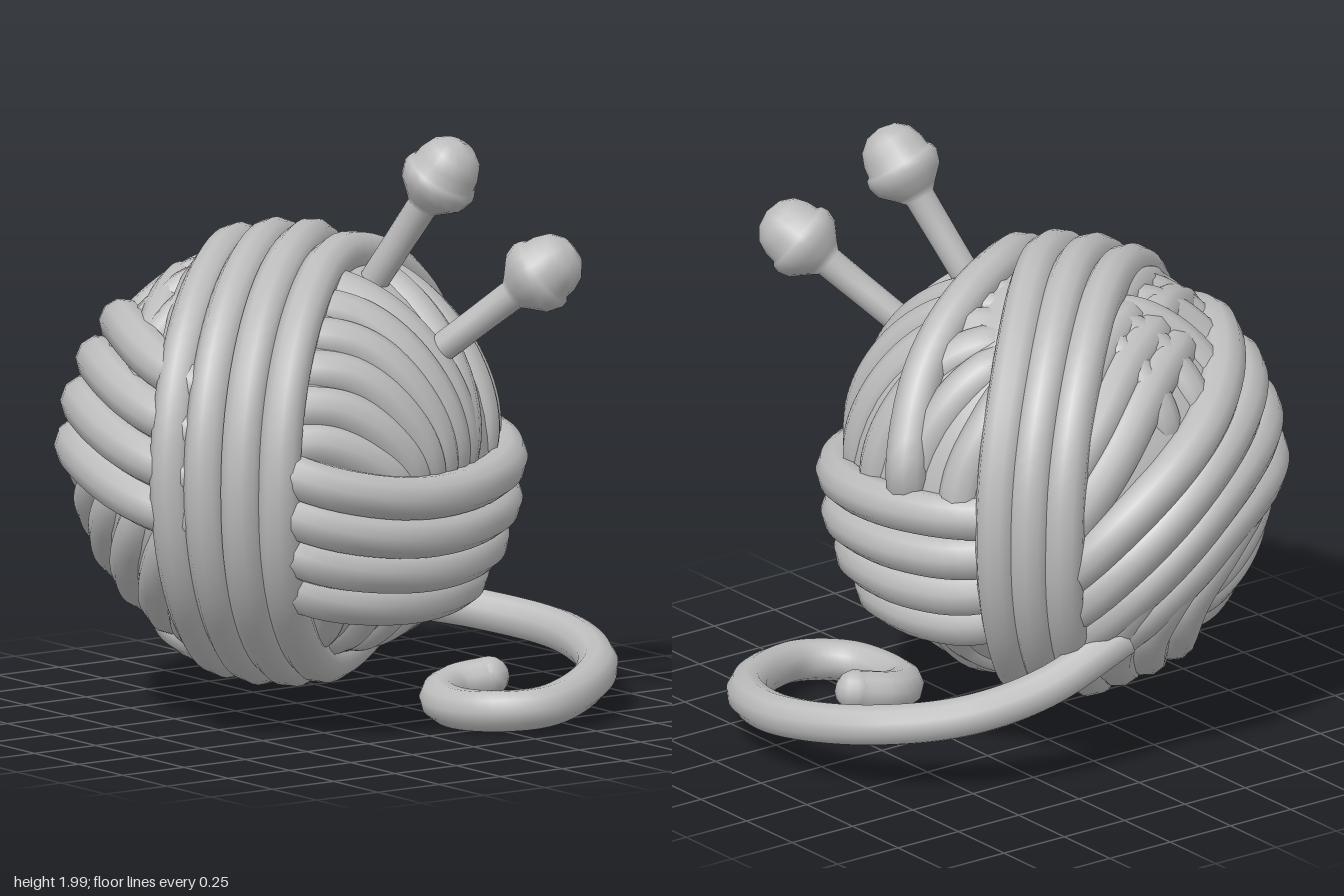
import * as THREE from 'three';

const yarn = new THREE.MeshStandardMaterial({ color: 0xbcbcbc });
yarn.name = 'plain grey';

const CENTRE = new THREE.Vector3(-0.08, 0.895, 0.16);
// Horizontal axes of the ball: N is the axle of the upright band, T points to its front
const N = new THREE.Vector3(0.8, 0, -0.6);
const T = new THREE.Vector3(0.6, 0, 0.8);
const V = (a) => new THREE.Vector3(...a);

// Direction from longitude (0 = N, 90 = T) and latitude in degrees
function direction(lon, lat) {
  const a = THREE.MathUtils.degToRad(lon), b = THREE.MathUtils.degToRad(lat);
  return new THREE.Vector3()
    .addScaledVector(N, Math.cos(a) * Math.cos(b))
    .addScaledVector(T, Math.sin(a) * Math.cos(b))
    .setY(Math.sin(b));
}

function tube(name, points, radius, closed = false, segments = 40) {
  const curve = new THREE.CatmullRomCurve3(points, closed, 'centripetal');
  const mesh = new THREE.Mesh(new THREE.TubeGeometry(curve, segments, radius, 10, closed), yarn);
  mesh.name = name;
  return mesh;
}

// One strand hugging the ball; its ends dip below the surface
function strand(name, guide, R, radius) {
  const raw = new THREE.CatmullRomCurve3(guide.map(([lon, lat]) => direction(lon, lat)), false, 'centripetal');
  const points = [];
  for (let i = 0; i <= 16; i++) {
    const t = i / 16;
    const dip = 1 - 0.1 * Math.abs(2 * t - 1) ** 6;
    points.push(raw.getPoint(t).normalize().multiplyScalar(R * dip).add(CENTRE));
  }
  return tube(name, points, radius);
}

// Several strands blended between two guide paths
function bundle(name, a, b, count, R, radius) {
  const group = new THREE.Group();
  group.name = name;
  for (let i = 0; i < count; i++) {
    const k = i / (count - 1);
    const guide = a.map(([lon, lat], j) => [lon + (b[j][0] - lon) * k, lat + (b[j][1] - lat) * k]);
    group.add(strand(name + 'Strand', guide, R, radius));
  }
  return group;
}

// Upright band of full loops; at the back three bunch together and one peels away under the side wraps
function uprightBand() {
  const group = new THREE.Group();
  group.name = 'uprightBand';
  const front = [-0.19, -0.065, 0.06, 0.185];
  const back = [-0.22, -0.11, 0.0, 0.34];
  front.forEach((start, i) => {
    const points = [];
    for (let j = 0; j < 24; j++) {
      const t = (j / 24) * Math.PI * 2;
      const squeeze = 1 - 0.12 * Math.max(0, -Math.sin(t));
      const k = THREE.MathUtils.smoothstep(-Math.cos(t), -0.2, 0.9);
      const sink = i === 3 ? 0.09 * k * THREE.MathUtils.smoothstep(-Math.sin(t), -0.25, 0.1) : 0;
      const offset = THREE.MathUtils.lerp(start, back[i], k) * squeeze;
      const R = Math.sqrt((0.707 - sink) ** 2 - offset ** 2);
      points.push(CENTRE.clone()
        .addScaledVector(N, offset)
        .addScaledVector(T, R * Math.cos(t))
        .add(new THREE.Vector3(0, R * Math.sin(t), 0)));
    }
    group.add(tube('uprightLoop', points, 0.072, true, 72));
  });
  return group;
}

// Knitting needle: shaft, collar and domed knob turned as one profile
function needle(name, head, down) {
  const profile = [
    [0.001, -0.85], [0.048, -0.8], [0.05, -0.3], [0.052, -0.14], [0.075, -0.115], [0.12, -0.07],
    [0.132, -0.03], [0.126, -0.005], [0.114, 0.004], [0.11, 0.04], [0.092, 0.084], [0.055, 0.115], [0, 0.127],
  ].map(([x, y]) => new THREE.Vector2(x, y));
  const mesh = new THREE.Mesh(new THREE.LatheGeometry(profile, 16), yarn);
  mesh.name = name;
  mesh.position.copy(V(head));
  mesh.quaternion.setFromUnitVectors(new THREE.Vector3(0, 1, 0), V(down).negate().normalize());
  return mesh;
}

export function createModel() {
  const model = new THREE.Group();
  model.name = 'yarnBall';

  // Solid core
  const core = new THREE.Mesh(new THREE.SphereGeometry(0.69, 40, 28), yarn);
  core.name = 'core';
  core.position.copy(CENTRE);
  model.add(core);

  // Under layers: two sides, above and below the cross wraps
  model.add(
    bundle('lowerFrontWraps', [[207, -30], [190, -20], [170, -8], [148, 6]],
      [[222, -48], [165, -66], [120, -48], [93, -10]], 6, 0.652, 0.078),
    bundle('upperFrontWraps', [[118, 24], [110, 48], [95, 68]],
      [[215, 24], [222, 50], [262, 70]], 7, 0.652, 0.074),
    bundle('slantedTopWraps', [[121, 15], [132, 40], [160, 56], [195, 58]],
      [[110, 12], [116, 40], [150, 66], [215, 68]], 2, 0.66, 0.072),
    bundle('backDiagonalWraps', [[175, 48], [212, 42], [238, 18], [262, -15]],
      [[195, 72], [235, 64], [254, 45], [268, 18]], 4, 0.66, 0.075),
    bundle('lowerBackWraps', [[225, -40], [215, -60], [190, -78]],
      [[265, -10], [262, -40], [262, -65]], 4, 0.65, 0.072),
    bundle('upperSideWraps', [[84, 10], [62, 12], [45, 4], [36, -6]],
      [[80, 70], [30, 58], [14, 28], [10, -4]], 6, 0.655, 0.075),
    bundle('upperBackFan', [[12, -4], [6, 28], [-4, 54], [-50, 76]],
      [[-76, -4], [-78, 15], [-84, 32], [-92, 48]], 6, 0.655, 0.075),
    bundle('lowerSideWraps', [[84, -18], [74, -42], [84, -68]],
      [[-78, -22], [-62, -48], [-80, -70]], 9, 0.65, 0.07),
  );

  // Outer cross wraps
  model.add(
    bundle('sideWraps', [[78, 6], [60, 0], [37, -4], [0, -3], [-40, 1], [-93, 4]],
      [[78, -28], [60, -33], [37, -36], [0, -36], [-40, -33], [-93, -30]], 4, 0.72, 0.075),
    bundle('frontWraps', [[94, 25], [115, 31], [158, 39], [204, 24], [236, 2], [264, -24]],
      [[94, -12], [115, -7], [152, 2], [200, -5], [230, -32], [262, -62]], 4, 0.695, 0.08),
    bundle('foldedWraps', [[172, 2], [198, -9], [209, -25], [202, -44], [170, -58], [98, -62]],
      [[222, -12], [232, -26], [232, -44], [218, -60], [180, -72], [100, -76]], 3, 0.695, 0.075),
    uprightBand(),
  );

  // Loose end curling on the ground
  const path = [
    [-0.66, 0.5, 0], [-0.6, 0.36, -0.28], [-0.49, 0.285, -0.53], [-0.27, 0.24, -0.76], [0.05, 0.2, -0.87],
    [0.38, 0.155, -0.77], [0.59, 0.115, -0.54], [0.655, 0.09, -0.34], [0.57, 0.08, -0.2], [0.41, 0.075, -0.16],
    [0.28, 0.085, -0.2], [0.215, 0.105, -0.3], [0.25, 0.125, -0.42],
  ].map(V);
  const tail = new THREE.Group();
  tail.name = 'looseEnd';
  tail.add(tube('tailYarn', path, 0.07, false, 90));
  const tip = new THREE.Mesh(new THREE.SphereGeometry(0.07, 12, 8), yarn);
  tip.name = 'tailTip';
  tip.position.copy(path[path.length - 1]);
  tail.add(tip);
  model.add(tail);

  // Needles pushed into the top
  model.add(
    needle('tallNeedle', [0.425, 1.875, -0.11], [-0.58, -1, 0.33]),
    needle('shortNeedle', [0.715, 1.57, -0.315], [-0.95, -1, 0.85]),
  );

  return model;
}
